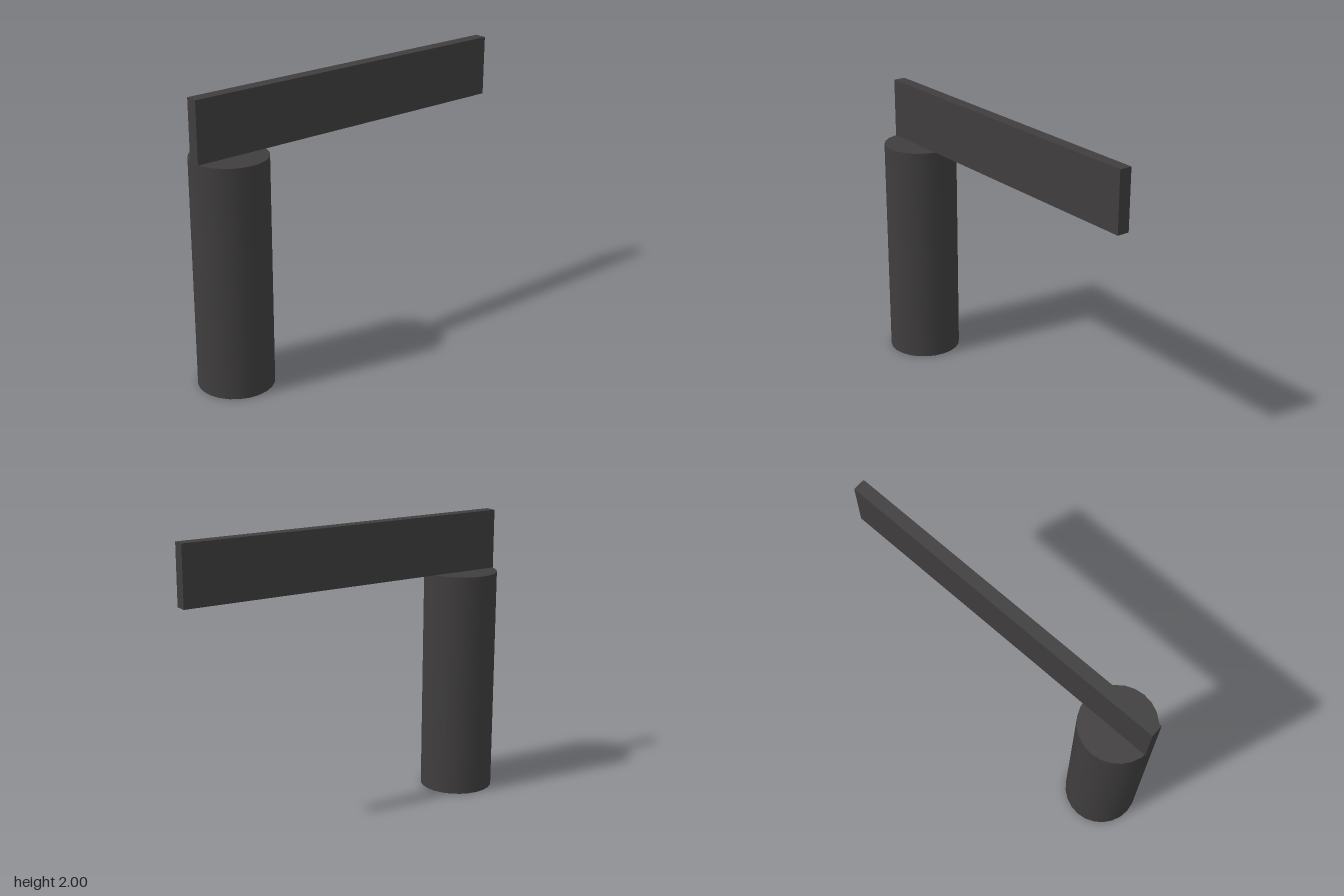
import * as THREE from 'three';

export function createModel() {
  const group = new THREE.Group();
  const material = new THREE.MeshStandardMaterial({ color: 0x3f3d3e });

  // Upright round post
  const height = 1.587;
  const post = new THREE.Mesh(new THREE.CylinderGeometry(0.257, 0.257, height, 24), material);
  post.name = 'post';
  post.position.set(-0.656, height / 2, 0.656);
  group.add(post);

  // Flat arm resting on the post, running diagonally to the back left
  const armHeight = 2 - height;
  const arm = new THREE.Mesh(new THREE.BoxGeometry(2.432, armHeight, 0.086), material);
  arm.name = 'arm';
  arm.position.set(0.022, height + armHeight / 2, -0.022);
  arm.rotation.y = Math.PI / 4;
  group.add(arm);

  return group;
}
